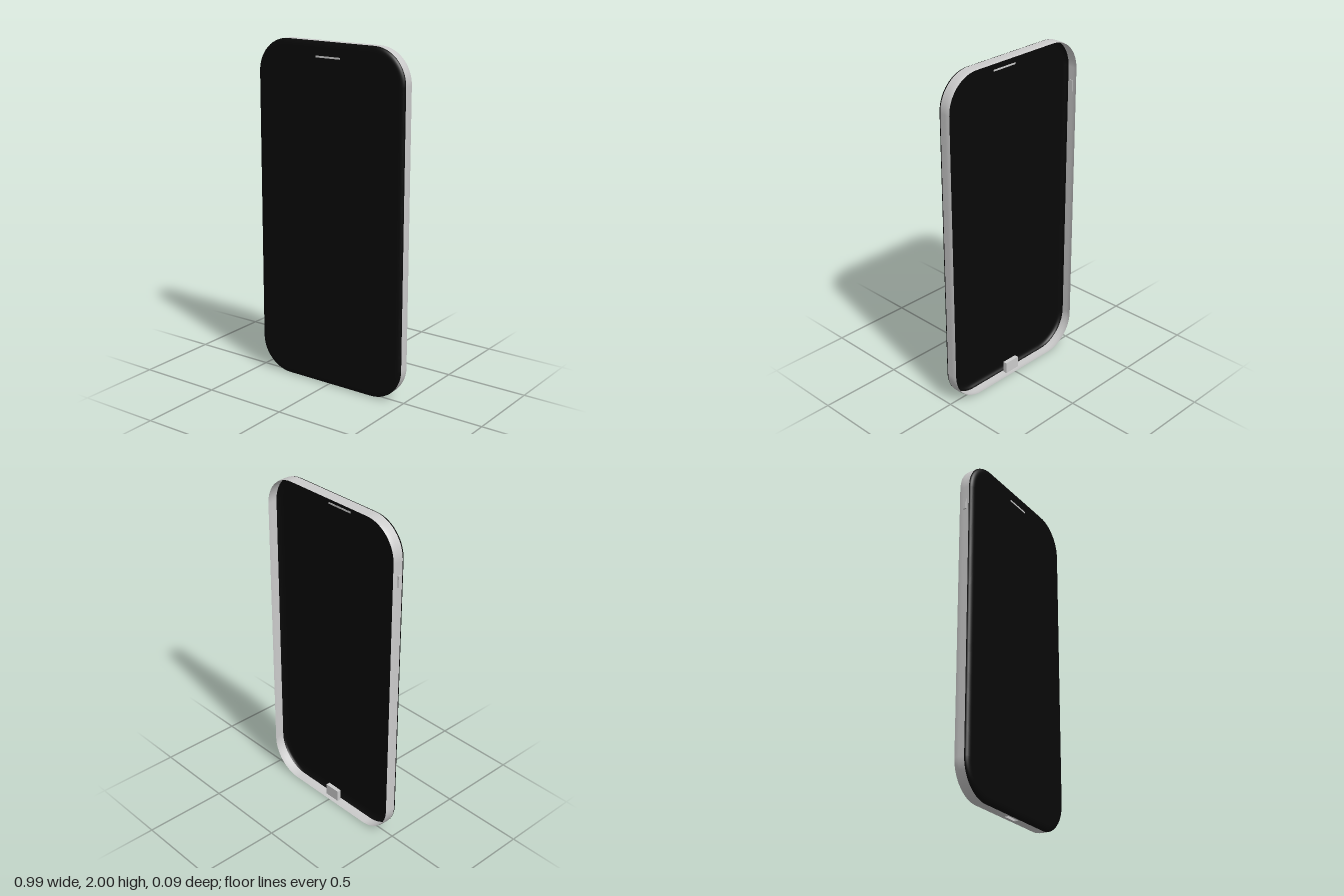
import * as THREE from 'three';

const CX = 0.002, HALF_W = 0.49, HALF_H = 1, RADIUS = 0.2, PORT_HALF = 0.05;

const grey = new THREE.MeshStandardMaterial({ color: 0xcccccc, side: THREE.DoubleSide });
const black = new THREE.MeshStandardMaterial({ color: 0x080808, side: THREE.DoubleSide });

// Rounded rectangle, counter-clockwise from the port span, pulled in by an inset
function outline(inset) {
  const pts = [[CX - PORT_HALF, inset], [CX + PORT_HALF, inset]];
  const dx = HALF_W - RADIUS, dy = HALF_H - RADIUS, r = RADIUS - inset, steps = 14;
  const corners = [[dx, -dy], [dx, dy], [-dx, dy], [-dx, -dy]];
  corners.forEach(([x, y], k) => {
    for (let i = 0; i <= steps; i++) {
      const a = (k - 1 + i / steps) * Math.PI / 2;
      pts.push([CX + x + r * Math.cos(a), HALF_H + y + r * Math.sin(a)]);
    }
  });
  return pts;
}

// Joins outlines given as [inset, z]; can leave out quads and close the front
function loft(rows, { skip = () => false, cap = false } = {}) {
  const pos = [], idx = [];
  const n = outline(0).length;
  for (const [inset, z] of rows) for (const [x, y] of outline(inset)) pos.push(x, y, z);
  for (let r = 0; r < rows.length - 1; r++) {
    for (let i = 0; i < n; i++) {
      if (skip(r, i)) continue;
      const j = (i + 1) % n;
      const a = r * n + i, b = r * n + j, c = b + n, d = a + n;
      idx.push(a, b, c, a, c, d);
    }
  }
  if (cap) {
    const last = (rows.length - 1) * n, centre = rows.length * n;
    pos.push(CX, HALF_H, rows[rows.length - 1][1]);
    for (let i = 0; i < n; i++) idx.push(last + i, last + (i + 1) % n, centre);
  }
  const g = new THREE.BufferGeometry();
  g.setAttribute('position', new THREE.Float32BufferAttribute(pos, 3));
  g.setIndex(idx);
  g.computeVertexNormals();
  return g;
}

function add(parent, name, geometry, material, x = 0, y = 0, z = 0) {
  const mesh = new THREE.Mesh(geometry, material);
  mesh.name = name;
  mesh.position.set(x, y, z);
  parent.add(mesh);
  return mesh;
}

export function createModel() {
  const phone = new THREE.Group();
  phone.name = 'phone';

  // Thin side band, open at the back, with the port opening in its lower edge
  const rimRows = [[0.004, -0.042], [0.001, -0.03], [0, -0.014], [0, 0.01], [0, 0.02]];
  add(phone, 'sideBand', loft(rimRows, { skip: (r, i) => r === 2 && i === 0 }), grey);

  // Front glass shell with a rounded edge
  const glassRows = [];
  for (let i = 0; i <= 8; i++) {
    const a = i / 8 * Math.PI / 2;
    glassRows.push([0.036 * (1 - Math.cos(a)), 0.02 + 0.022 * Math.sin(a)]);
  }
  glassRows.push([0.05, 0.042]);
  add(phone, 'frontGlass', loft(glassRows, { cap: true }), black);

  // Earpiece bar, seen from both sides of the glass
  add(phone, 'earpiece', new THREE.BoxGeometry(0.165, 0.01, 0.003), grey, CX, 1.917, 0.042);

  // Charging socket: a box open at the bottom
  const socket = new THREE.Group();
  socket.name = 'chargingSocket';
  socket.position.set(CX, 0, -0.002);
  const w = 2 * PORT_HALF, h = 0.07, d = 0.024;
  add(socket, 'socketTop', new THREE.PlaneGeometry(w, d).rotateX(-Math.PI / 2), grey, 0, h, 0);
  for (const s of [-1, 1]) {
    const turn = s > 0 ? 0 : Math.PI;
    add(socket, s > 0 ? 'socketFront' : 'socketBack',
      new THREE.PlaneGeometry(w, h).rotateY(turn), grey, 0, h / 2, s * d / 2);
    add(socket, s > 0 ? 'socketLeft' : 'socketRight',
      new THREE.PlaneGeometry(d, h).rotateY(s * Math.PI / 2), grey, s * w / 2, h / 2, 0);
  }
  phone.add(socket);

  // Power button on the right edge
  add(phone, 'powerButton', new THREE.BoxGeometry(0.012, 0.066, 0.018), grey, CX - HALF_W - 0.002, 1.69, -0.004);

  return phone;
}
